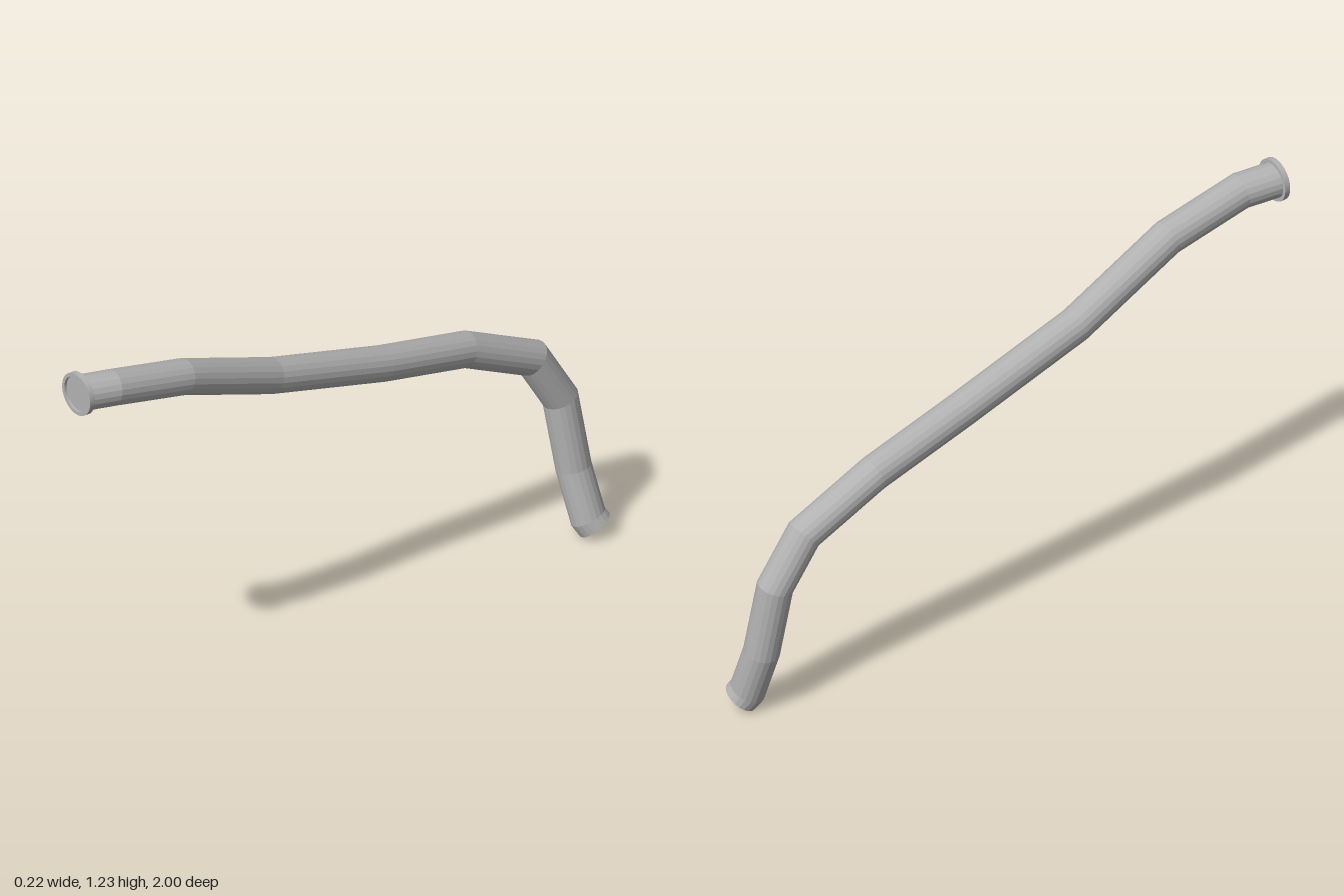
import * as THREE from 'three';

const SIDES = 20, R = 0.056;

// Centre line of the pipe, from the flanged front end to the lower outlet
const PATH = [
  [0.016, 1.164, 0.985], [0.037, 1.155, 0.88], [0.034, 1.094, 0.61],
  [-0.008, 0.946, 0.24], [-0.03, 0.82, -0.2], [-0.054, 0.738, -0.535],
  [-0.052, 0.618, -0.79], [-0.036, 0.455, -0.885], [-0.006, 0.22, -0.912],
  [0.041, 0.062, -0.93], [0.055, 0.034, -0.945],
].map((p) => new THREE.Vector3(...p));

// Constant-radius tube with mitred joints and a cap at each end
function mitredPipe(points, radius, sides) {
  const dirs = points.slice(1).map((p, i) => p.clone().sub(points[i]).normalize());
  const u = new THREE.Vector3(0, 1, 0).cross(dirs[0]).normalize();
  const v = dirs[0].clone().cross(u);
  let ring = Array.from({ length: sides }, (_, k) => {
    const a = (k / sides) * Math.PI * 2;
    return points[0].clone().addScaledVector(u, Math.cos(a) * radius).addScaledVector(v, Math.sin(a) * radius);
  });
  const rings = points.map((p, i) => {
    const along = dirs[Math.max(i - 1, 0)];
    const normal = i === 0 ? new THREE.Vector3(0, 0, -1)
      : along.clone().add(dirs[Math.min(i, dirs.length - 1)]).normalize();
    // slide each corner along the segment onto the joint plane
    ring = ring.map((q) => q.clone().addScaledVector(along, p.clone().sub(q).dot(normal) / along.dot(normal)));
    return ring;
  });

  const pos = [];
  const tri = (...corners) => corners.forEach((c) => pos.push(c.x, c.y, c.z));
  const last = points.length - 1;
  for (let k = 0; k < sides; k++) {
    const n = (k + 1) % sides;
    for (let i = 0; i < last; i++) {
      tri(rings[i][k], rings[i][n], rings[i + 1][n]);
      tri(rings[i][k], rings[i + 1][n], rings[i + 1][k]);
    }
    tri(points[0], rings[0][n], rings[0][k]);
    tri(points[last], rings[last][k], rings[last][n]);
  }
  const geo = new THREE.BufferGeometry();
  geo.setAttribute('position', new THREE.Float32BufferAttribute(pos, 3));
  geo.computeVertexNormals();
  return geo;
}

export function createModel() {
  const model = new THREE.Group();
  model.name = 'bentPipe';
  const grey = new THREE.MeshStandardMaterial({ color: 0xb2b2b2 });
  grey.name = 'grey metal';

  const pipe = new THREE.Mesh(mitredPipe(PATH, R, SIDES), grey);
  pipe.name = 'pipe';
  model.add(pipe);

  // Raised collar around the front opening
  const shape = new THREE.Shape().absarc(0, 0, 0.068, 0, Math.PI * 2);
  shape.holes.push(new THREE.Path().absarc(0, 0, 0.057, 0, Math.PI * 2, true));
  const collar = new THREE.Mesh(
    new THREE.ExtrudeGeometry(shape, { depth: 0.018, bevelEnabled: false, curveSegments: 32 }), grey);
  collar.name = 'flange';
  collar.position.set(0.016, 1.164, 0.982);
  model.add(collar);

  // Plate closing the opening just behind the collar's rim
  const plate = new THREE.Mesh(new THREE.CylinderGeometry(0.06, 0.06, 0.006, 32), grey);
  plate.name = 'endPlate';
  plate.rotation.x = Math.PI / 2;
  plate.position.set(0.016, 1.164, 0.988);
  model.add(plate);

  return model;
}
